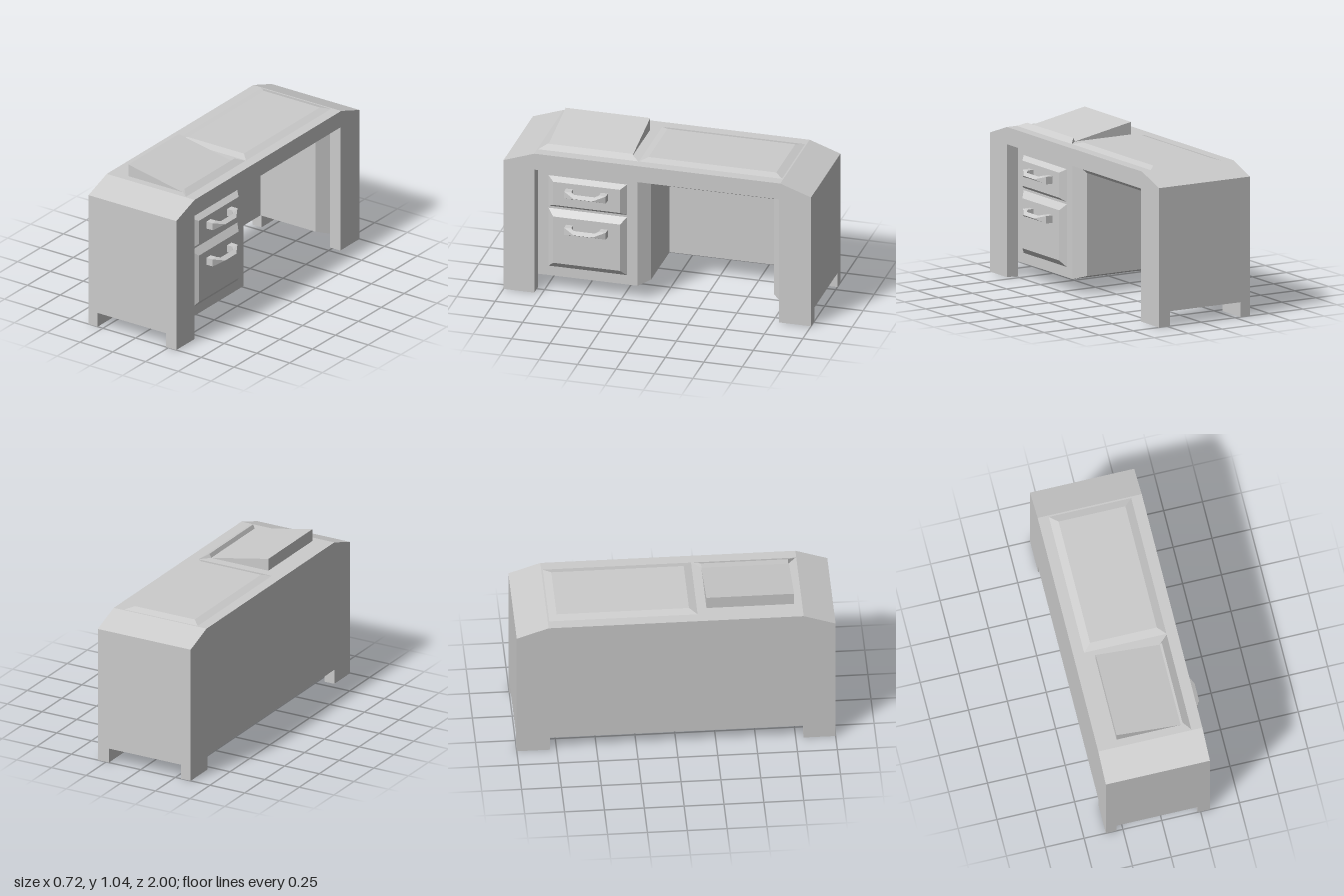
import * as THREE from 'three';
import { ConvexGeometry } from 'three/addons/geometries/ConvexGeometry.js';

const grey = new THREE.MeshStandardMaterial({ color: 0xcccccc, flatShading: true });
const greyThin = new THREE.MeshStandardMaterial({ color: 0xcccccc, flatShading: true, side: THREE.DoubleSide });

export function createModel() {
  const desk = new THREE.Group();
  desk.name = 'desk';

  const add = (name, geometry, material = grey, parent = desk) => {
    const mesh = new THREE.Mesh(geometry, material);
    mesh.name = name;
    parent.add(mesh);
    return mesh;
  };
  const box = (name, x0, x1, y0, y1, z0, z1) => {
    const g = new THREE.BoxGeometry(x1 - x0, y1 - y0, z1 - z0);
    g.translate((x0 + x1) / 2, (y0 + y1) / 2, (z0 + z1) / 2);
    return add(name, g);
  };
  // convex solid through a handful of corners
  const hull = (name, pts, parent = desk) =>
    add(name, new ConvexGeometry(pts.map(p => new THREE.Vector3(...p))), grey, parent);
  // rectangle corners lying in a plane of constant x or constant y
  const rectX = (x, y0, y1, z0, z1) => [[x, y0, z0], [x, y1, z0], [x, y1, z1], [x, y0, z1]];
  const rectY = (y, x0, x1, z0, z1) => [[x0, y, z0], [x1, y, z0], [x1, y, z1], [x0, y, z1]];

  const back = -0.36, front = 0.31, face = 0.23, under = 0.095, rim = 0.85;

  // table top with sloped ends
  const slab = [];
  for (const x of [back, front])
    for (const s of [-1, 1]) slab.push([x, rim, s], [x, 0.89, s], [x, 0.96, s * 0.8]);
  hull('tableTop', slab);

  // raised writing panel
  hull('writingPanel', [
    ...rectY(0.96, -0.29, 0.24, -0.79, 0.14),
    ...rectY(0.975, -0.24, 0.19, -0.74, 0.09),
  ]);

  // sloped reading stand and its ledge
  hull('readingStand', [
    ...rectY(0.96, -0.23, 0.185, 0.2, 0.75),
    [-0.23, 1.04, 0.2], [-0.23, 1.04, 0.75],
  ]);
  hull('standLedge', [
    [0.182, 0.96, 0.2], [0.182, 0.96, 0.745],
    [0.195, 0.985, 0.2], [0.195, 0.985, 0.745],
    [0.24, 0.96, 0.145], [0.24, 0.96, 0.795],
  ]);

  // pedestals, front columns and rear feet
  box('drawerPedestal', back, face, under, rim, 0.15, 1);
  box('sidePedestal', back, face, under, rim, -1, -0.79);
  for (const [z0, z1] of [[0.8, 1], [-1, -0.79]]) {
    box('frontColumn', face, front, 0, rim, z0, z1);
    box('rearFoot', back, -0.29, 0, under, z0, z1);
  }

  // knee space lining: bevelled opening, side walls, ceiling and back
  const zo = [0.15, -0.79], zi = [0.08, -0.72];
  const lip = 0.17, deep = -0.25, low = 0.12, high = 0.78;
  const quads = [
    [[face, rim, zo[0]], [face, rim, zo[1]], [lip, high, zi[1]], [lip, high, zi[0]]],
    [[lip, high, zi[0]], [lip, high, zi[1]], [deep, high, zi[1]], [deep, high, zi[0]]],
    rectX(deep, low, high, zi[1], zi[0]),
    rectX(back, under, rim, zo[1], zo[0]),
    [[back, under, zo[0]], [back, under, zo[1]], [deep, low, zi[1]], [deep, low, zi[0]]],
  ];
  for (const i of [0, 1]) {
    quads.push(
      [[face, under, zo[i]], [face, rim, zo[i]], [lip, high, zi[i]], [lip, low, zi[i]]],
      [[lip, low, zi[i]], [lip, high, zi[i]], [deep, high, zi[i]], [deep, low, zi[i]]],
      [[face, under, zo[i]], [lip, low, zi[i]], [deep, low, zi[i]], [back, under, zo[i]]],
    );
  }
  const corners = quads.flatMap(([a, b, c, d]) => [a, b, c, a, c, d]).flat();
  const lining = new THREE.BufferGeometry();
  lining.setAttribute('position', new THREE.Float32BufferAttribute(corners, 3));
  lining.computeVertexNormals();
  add('kneeSpace', lining, greyThin);

  // bevelled drawer fronts
  const drawerFace = 0.265;
  hull('upperDrawer', [
    ...rectX(face, 0.575, 0.785, 0.22, 0.73),
    ...rectX(drawerFace, 0.6, 0.76, 0.255, 0.69),
  ]);
  hull('lowerDrawer', [
    ...rectX(face, 0.16, 0.56, 0.22, 0.73),
    ...rectX(drawerFace, 0.2, 0.52, 0.255, 0.69),
  ]);

  // arched handles, each end mirrored about the middle
  for (const y of [0.7, 0.45]) {
    const handle = new THREE.Group();
    handle.name = 'drawerHandle';
    handle.position.set(0, y, 0.47);
    const h = 0.024;
    const middle = s => [[0.355, 0, s * 0.06], [0.325, 0.016, s * 0.068], [0.325, -0.016, s * 0.068]];
    for (const s of [-1, 1]) {
      const base = rectX(drawerFace - 0.005, -h, h, s * 0.09, s * 0.137);
      const elbow = [];
      for (const k of [-h, h]) elbow.push([0.312, k, s * 0.135], [0.305, k, s * 0.09]);
      hull('handlePost', [...base, ...elbow], handle);
      hull('handleArm', [...elbow, ...middle(s)], handle);
    }
    hull('handleGrip', [...middle(-1), ...middle(1)], handle);
    desk.add(handle);
  }

  return desk;
}
